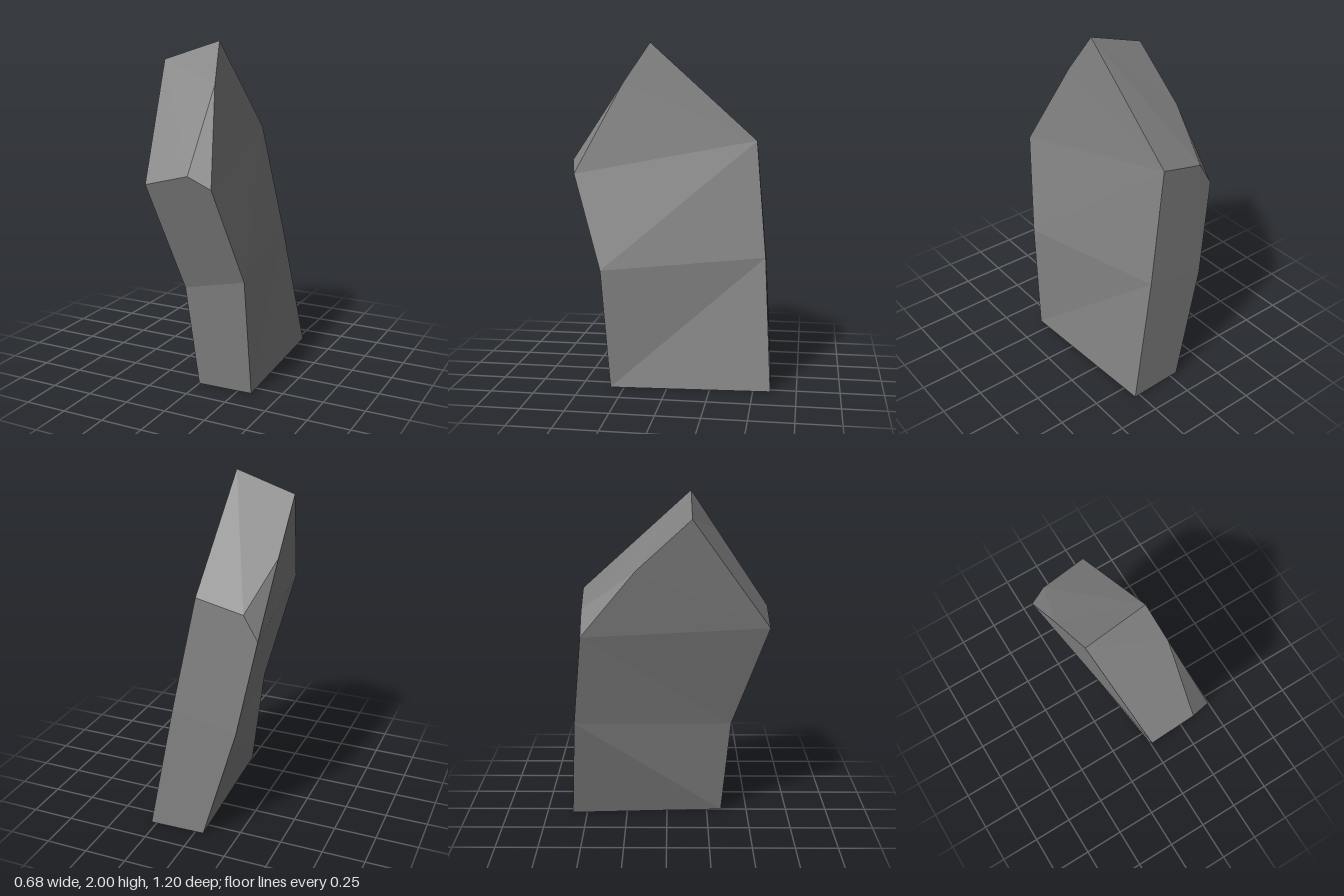
import * as THREE from 'three';

// Corner points of the leaning stone slab
const P = {
  // ridge
  ridgeR: [-0.32, 1.885, 0.14], ridgeL: [0.035, 2, 0.138],
  // front edge, -x side
  noseR: [-0.19, 1.24, 0.597], notchR: [-0.06, 0.605, 0.39], footR: [0, 0, 0.34],
  // front edge, +x side, with its chipped corner
  chipTopL: [0.083, 1.77, 0.29], noseTip: [0.075, 1.31, 0.6], noseL: [0.2, 1.24, 0.565],
  notchL: [0.315, 0.69, 0.39], footL: [0.335, 0, 0.33],
  // back edge, +x side
  backTopL: [0.02, 1.43, -0.493], backMidL: [0.145, 0.76, -0.557], heelL: [0.283, 0, -0.6],
  // back edge, -x side, with its chipped corner
  chipTopR: [-0.338, 1.6, -0.175], backTip: [-0.255, 1.365, -0.483], backTopR: [-0.34, 1.225, -0.487],
  backMidR: [-0.237, 0.67, -0.545], heelR: [-0.05, 0, -0.59],
};

// Flat faces; each is a fan from its first corner
const FACES = [
  // front
  'ridgeR noseR noseTip chipTopL ridgeL',
  'noseTip noseR notchR notchL noseL',
  'notchR footR footL notchL',
  // back
  'ridgeL backTopL backTip chipTopR ridgeR',
  'backTip backTopL backMidL backMidR backTopR',
  'backMidL heelL heelR backMidR',
  // +x side
  'backTopL ridgeL chipTopL noseL',
  'backTopL noseL notchL backMidL',
  'backMidL notchL footL heelL',
  // -x side
  'noseR ridgeR chipTopR backTopR',
  'backTopR backMidR notchR noseR',
  'backMidR heelR footR notchR',
  // chipped corners
  'chipTopL noseTip noseL',
  'chipTopR backTip backTopR',
  // underside
  'footR heelR heelL footL',
];

export function createModel() {
  const group = new THREE.Group();
  group.name = 'rock';

  const positions = [];
  for (const face of FACES) {
    const c = face.split(' ').map((name) => P[name]);
    for (let i = 1; i < c.length - 1; i++) positions.push(...c[0], ...c[i], ...c[i + 1]);
  }
  const geometry = new THREE.BufferGeometry();
  geometry.setAttribute('position', new THREE.Float32BufferAttribute(positions, 3));
  geometry.computeVertexNormals();

  const stone = new THREE.MeshStandardMaterial({ color: 0x808080, flatShading: true });
  stone.name = 'stone grey';
  const slab = new THREE.Mesh(geometry, stone);
  slab.name = 'stoneSlab';
  group.add(slab);
  return group;
}
